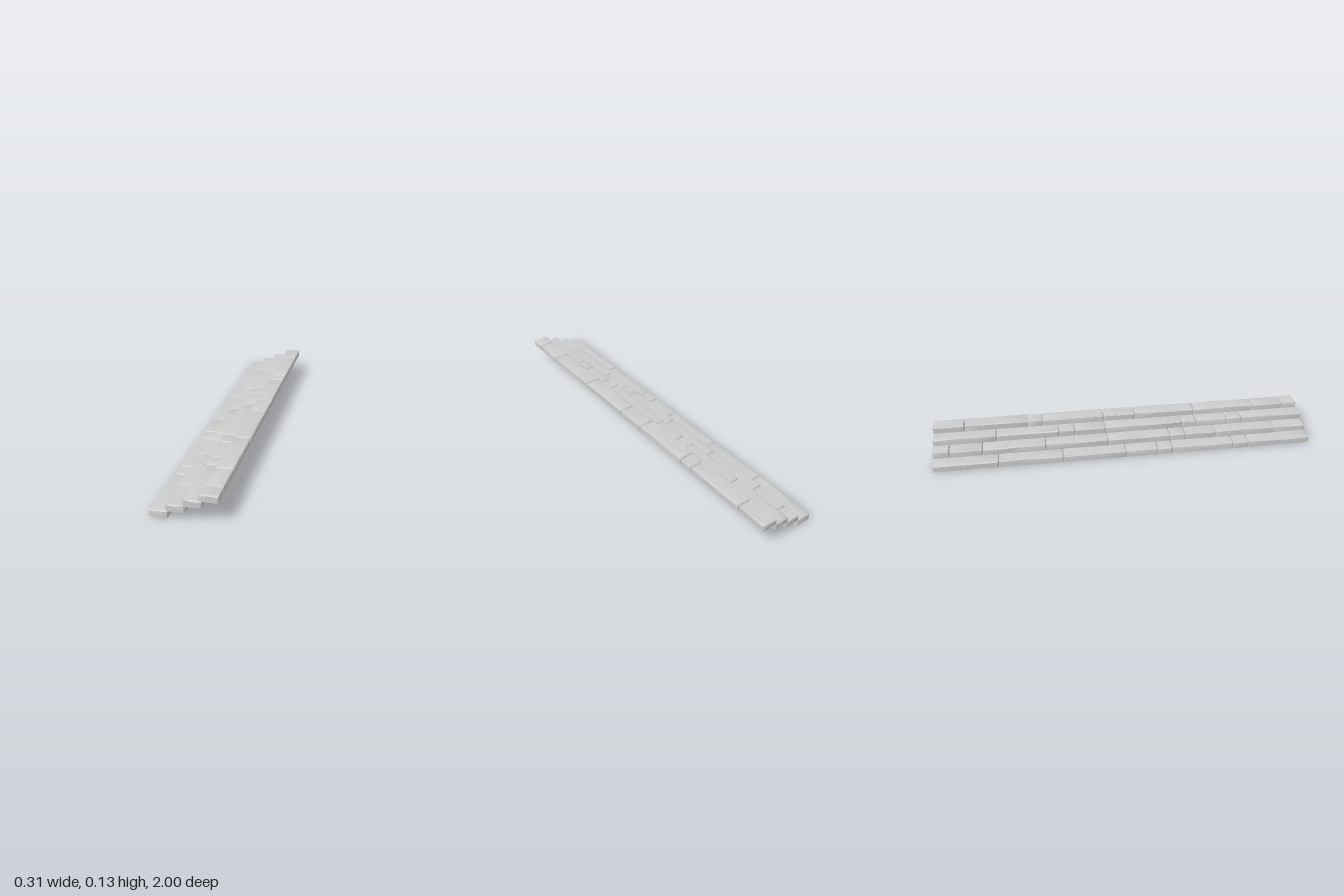
import * as THREE from 'three';
import { toCreasedNormals } from 'three/addons/utils/BufferGeometryUtils.js';

// Repeatable noise in -1..1 from a position and a seed
function noise(x, y, z, seed) {
  const s = Math.sin(x * 127.1 + y * 311.7 + z * 74.7 + seed * 19.19) * 43758.5453;
  return (s - Math.floor(s)) * 2 - 1;
}

// A worn stone block, open underneath, standing on y = 0
function stoneGeometry(w, h, l, seed) {
  const n = Math.max(3, Math.round(l / 0.06));
  const geo = new THREE.BoxGeometry(w, h, l, 4, 2, n);

  // Drop the underside
  const bottom = geo.groups[3];
  const index = Array.from(geo.index.array);
  index.splice(bottom.start, bottom.count);
  geo.setIndex(index);
  geo.clearGroups();

  const p = geo.attributes.position;
  const bevel = 0.005;
  for (let i = 0; i < p.count; i++) {
    const u = Math.round((p.getX(i) / w) * 4); // -2..2
    const v = Math.round((p.getY(i) / h) * 2); // -1..1
    const t = Math.round((p.getZ(i) / l + 0.5) * n); // 0..n
    const endX = Math.abs(u) === 2, top = v === 1;
    const endZ = t === 0 || t === n;
    const sideZ = t <= n / 2 ? -1 : 1;

    // Push the inner grid lines out to the start of the bevel
    let x = endX ? Math.sign(u) * w / 2 : u * (w / 2 - bevel);
    if (!endX && u === 0) x = 0;
    let y = v === -1 ? 0 : v === 0 ? h - bevel : h;
    let z = -l / 2 + (l * t) / n;
    if (t === 1 || t === n - 1) z = sideZ * (l / 2 - bevel);

    // Chip the upper edges and the upright corners
    const wear = 0.0022 + 0.0012 * noise(u, v, t, seed);
    if (endX && (top || endZ)) x -= Math.sign(u) * wear;
    if (endZ && (top || endX)) z -= sideZ * wear;
    if (top && (endX || endZ)) y -= wear;

    // Slight unevenness of the faces
    if (!endZ) x += 0.0008 * noise(u + 3, v, t, seed);
    if (v === 0) y += 0.0008 * noise(u, v + 5, t, seed);
    p.setXYZ(i, x, y, z);
  }
  return toCreasedNormals(geo, 0.55);
}

export function createModel() {
  const model = new THREE.Group();
  model.name = 'stoneSteps';
  const material = new THREE.MeshStandardMaterial({ color: 0xcccccc, side: THREE.DoubleSide });

  // Each step: centre x, base y and the joints between its stones along z
  const steps = [
    { x: -0.112, y: 0, joints: [-0.665, -0.33, 0, 0.17, 0.25, 0.58, 0.665] },
    { x: -0.037, y: 0.034, joints: [-0.915, -0.745, -0.415, -0.085, 0.25, 0.335, 0.5, 0.83] },
    { x: 0.038, y: 0.067, joints: [-0.67, -0.34, -0.255, -0.09, 0.33, 0.41, 0.58, 0.665] },
    { x: 0.112, y: 0.1, joints: [-0.835, -0.5, -0.42, -0.09, 0.08, 0.41, 0.745, 0.915] },
  ];

  steps.forEach((step, s) => {
    const row = new THREE.Group();
    row.name = `step${s + 1}`;
    row.position.set(step.x, step.y, 0);
    const cuts = [-1, ...step.joints, 1];
    for (let i = 0; i < cuts.length - 1; i++) {
      const a = cuts[i] + (i ? 0.0015 : 0);
      const b = cuts[i + 1] - (i < cuts.length - 2 ? 0.0015 : 0);
      const seed = s * 17 + i;
      const stone = new THREE.Mesh(stoneGeometry(0.084, 0.033, b - a, seed), material);
      stone.name = `stone${i + 1}`;
      stone.position.set(0.001 * noise(i, s, 1, 7), 0, (a + b) / 2);
      row.add(stone);
    }
    model.add(row);
  });
  return model;
}
